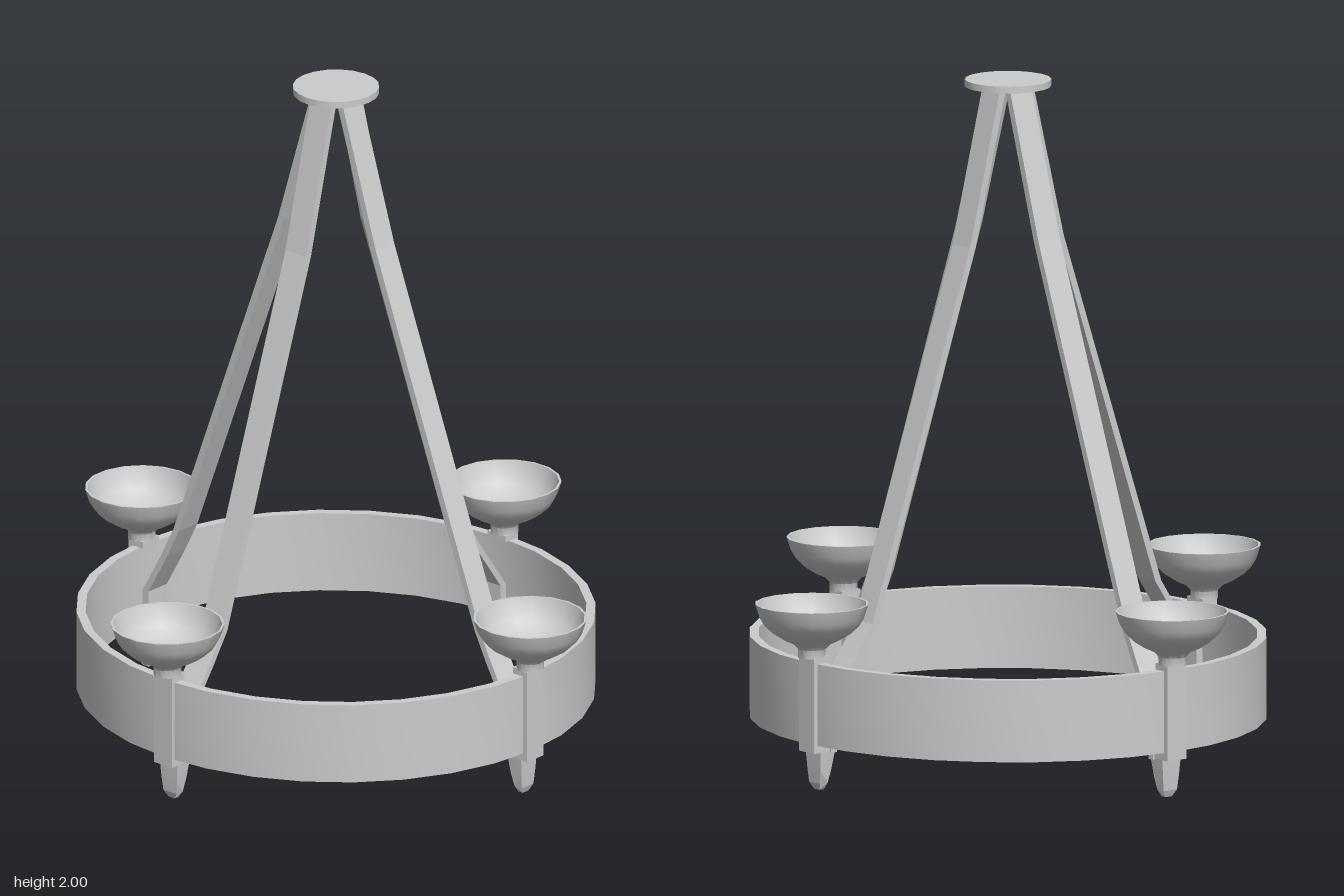
import * as THREE from 'three';
import { toCreasedNormals } from 'three/addons/utils/BufferGeometryUtils.js';

const material = new THREE.MeshStandardMaterial({ color: 0xcccccc, side: THREE.DoubleSide });
const vectors = (pts) => pts.map(([x, y]) => new THREE.Vector2(x, y));

function add(parent, name, geometry) {
  const mesh = new THREE.Mesh(geometry, material);
  mesh.name = name;
  parent.add(mesh);
  return mesh;
}

// Extrude a radial (r, y) outline to a given width, centred on z = 0
function slab(points, width) {
  const geometry = new THREE.ExtrudeGeometry(new THREE.Shape(vectors(points)), {
    depth: width, bevelEnabled: false,
  });
  return geometry.translate(0, 0, -width / 2);
}

function rect(x0, x1, y0, y1) {
  return [[x0, y0], [x1, y0], [x1, y1], [x0, y1]];
}

// Pointed claw whose width narrows towards the tip
function clawGeometry() {
  const geometry = slab([
    [0.715, 0], [0.732, 0], [0.74, 0.02], [0.743, 0.06],
    [0.746, 0.125], [0.69, 0.125], [0.702, 0.06], [0.712, 0.02],
  ], 1);
  const p = geometry.attributes.position;
  for (let i = 0; i < p.count; i++) {
    const y = p.getY(i);
    const half = y < 0.02 ? 0.012 + y * 0.65 : 0.025 + Math.min(1, (y - 0.02) / 0.09) * 0.01;
    p.setZ(i, Math.sign(p.getZ(i)) * half);
  }
  geometry.computeVertexNormals();
  return geometry;
}

// Flared bowl on a short stem, with an inner surface
function bowlGeometry() {
  const profile = [
    [0, 0.39], [0.04, 0.39], [0.04, 0.415], [0.055, 0.43], [0.085, 0.444], [0.115, 0.463],
    [0.138, 0.485], [0.153, 0.51], [0.165, 0.548], [0.158, 0.548], [0.145, 0.51],
    [0.13, 0.488], [0.107, 0.468], [0.075, 0.452], [0.04, 0.444], [0, 0.441],
  ];
  return toCreasedNormals(new THREE.LatheGeometry(vectors(profile), 18), 0.8);
}

function createArm(bends, shift) {
  const arm = new THREE.Group();
  arm.name = 'arm';

  // Bent hanging strap running down inside the ring
  const path = [...bends, [0.7 - shift, 0.25], [0.7 - shift, 0.11]];
  const t = 0.011;
  const outline = [
    ...path.map(([x, y]) => [x - t, y]),
    ...path.map(([x, y]) => [x + t, y]).reverse(),
  ];
  add(arm, 'strap', slab(outline, 0.08));

  // Bracket clasping the ring, with claw below and bowl above
  const bracket = new THREE.Group();
  bracket.name = 'bracket';
  bracket.position.x = -shift;
  arm.add(bracket);
  add(bracket, 'bracketPost', slab(rect(0.748, 0.77, 0.115, 0.395), 0.07));
  add(bracket, 'bracketFoot', slab(rect(0.69, 0.77, 0.113, 0.135), 0.07));
  add(bracket, 'bracketCap', slab(rect(0.715, 0.77, 0.375, 0.395), 0.07));
  add(bracket, 'claw', clawGeometry());
  add(bracket, 'bowl', bowlGeometry()).position.x = 0.75;
  return arm;
}

export function createModel() {
  const model = new THREE.Group();
  model.name = 'chandelier';

  // Flat band ring, very slightly narrower front to back
  const band = [...rect(0.73, 0.757, 0.135, 0.375), [0.73, 0.135]];
  const ring = add(model, 'ring',
    toCreasedNormals(new THREE.LatheGeometry(vectors(band), 32), 0.6));
  ring.scale.z = 0.98;

  // Ceiling plate
  const plate = new THREE.CylinderGeometry(0.125, 0.125, 0.02, 20);
  add(model, 'ceilingPlate', plate.translate(0, 1.99, 0));

  // Four arms: the side pair reaches a little further out
  const sideBends = [[0.045, 1.985], [0.178, 1.55], [0.582, 0.47], [0.63, 0.375]];
  const frontBends = [[0.05, 1.985], [0.163, 1.53], [0.527, 0.47], [0.59, 0.375]];
  for (let i = 0; i < 4; i++) {
    const arm = i % 2 ? createArm(frontBends, 0.02) : createArm(sideBends, 0);
    arm.name = ['leftArm', 'backArm', 'rightArm', 'frontArm'][i];
    arm.rotation.y = i * Math.PI / 2;
    model.add(arm);
  }
  return model;
}
